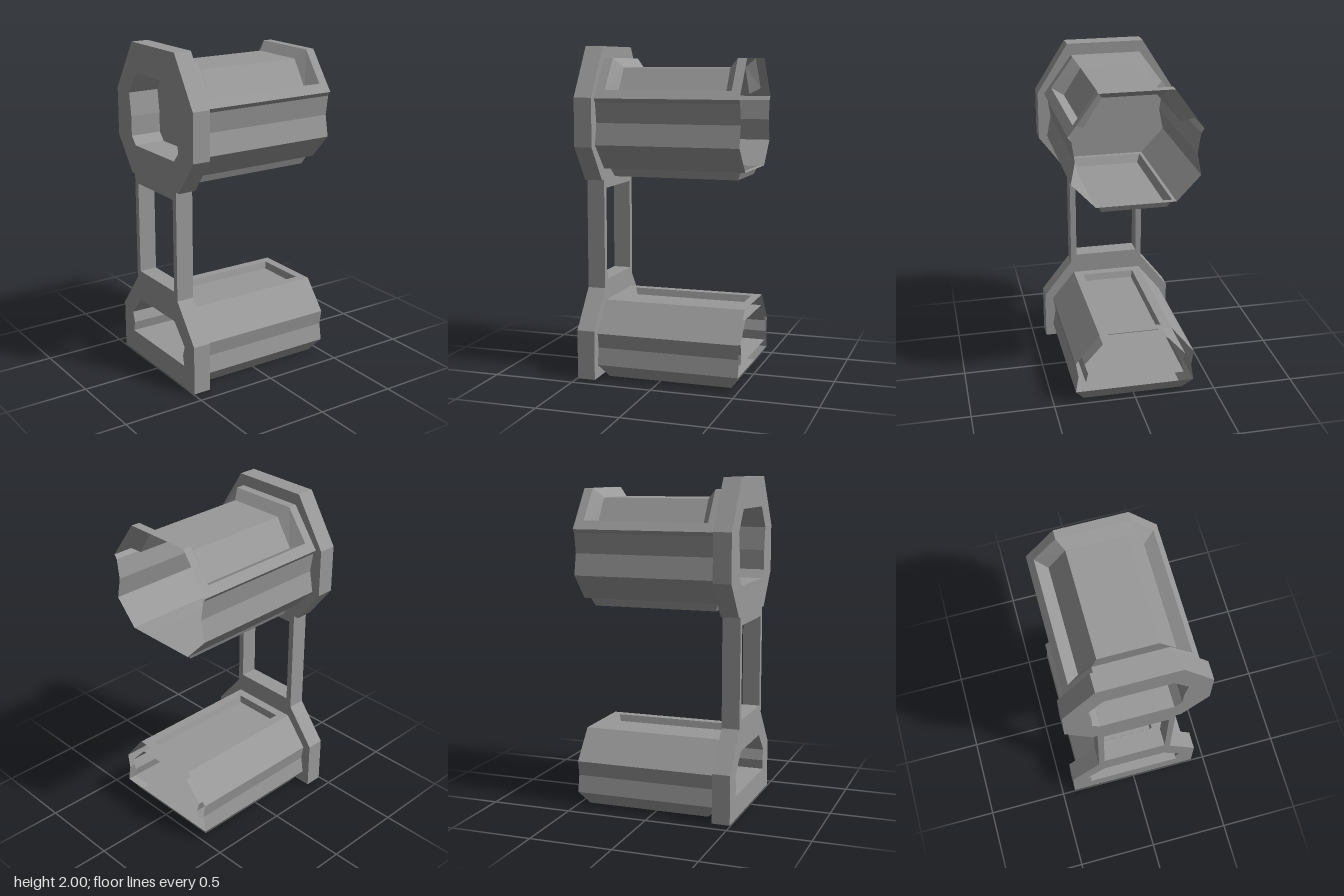
import * as THREE from 'three';

const material = new THREE.MeshStandardMaterial({ color: 0x999999, flatShading: true, side: THREE.DoubleSide });
const X0 = -0.385, X1 = 0.495; // ends of both tubes

// Mirror a half profile of [z, y] points into a closed outline
const mirror = (half) => [...half, ...half.slice().reverse().map(([z, y]) => [-z, y])];
// Place a [z, y] profile at a given x
const at = (path, x) => path.map(([z, y]) => [x, y, z]);

// Flat-shaded skin of quads between rows of points
function skin(...strips) {
  const pos = [];
  for (const rows of strips) {
    for (let r = 0; r < rows.length - 1; r++) {
      for (let i = 0; i < rows[r].length - 1; i++) {
        const a = rows[r][i], b = rows[r][i + 1], c = rows[r + 1][i + 1], d = rows[r + 1][i];
        pos.push(...a, ...b, ...c, ...a, ...c, ...d);
      }
    }
  }
  const g = new THREE.BufferGeometry();
  g.setAttribute('position', new THREE.Float32BufferAttribute(pos, 3));
  g.computeVertexNormals();
  return g;
}

// Panel pushed in or out of a tube: rim path between xo, offset path between xi
function panel(rim, floor, xo, xi) {
  const sides = [0, rim.length - 1].map((k) => [
    [at(rim, xo[0])[k], at(rim, xo[1])[k]],
    [at(floor, xi[0])[k], at(floor, xi[1])[k]],
  ]);
  return skin(
    [at(rim, X0), at(rim, xo[0]), at(floor, xi[0]), at(floor, xi[1]), at(rim, xo[1]), at(rim, X1)],
    ...sides,
  );
}

// Both side walls of a tube from one half profile
function sideWalls(half) {
  const other = half.map(([z, y]) => [-z, y]);
  return skin([at(half, X0), at(half, X1)], [at(other, X0), at(other, X1)]);
}

// Closed sleeve that continues a plate opening up to x
function sleeve(hole, x) {
  const loop = [...hole, hole[0]];
  return skin([at(loop, X0), at(loop, x)]);
}

const toPath = (pts, Type) => new Type(pts.map(([z, y]) => new THREE.Vector2(z, y)));

export function createModel() {
  const model = new THREE.Group();
  const add = (parent, name, geometry) => {
    const mesh = new THREE.Mesh(geometry, material);
    mesh.name = name;
    parent.add(mesh);
  };

  // Upright end plate: octagonal head, two posts and a wide foot
  const outline = mirror([[0.417, 0], [0.417, 0.3], [0.237, 0.53], [0.237, 1.2], [0.27, 1.2],
    [0.427, 1.41], [0.427, 1.7], [0.238, 2]]);
  const headHole = mirror([[0.22, 1.38], [0.265, 1.43], [0.265, 1.55], [0.285, 1.69], [0.195, 1.82]]);
  const postWindow = mirror([[0.2, 0.58], [0.2, 1.147]]);
  const footHole = mirror([[0.305, 0.14], [0.292, 0.2], [0.312, 0.265], [0.2, 0.39]]);
  const shape = toPath(outline, THREE.Shape);
  shape.holes = [headHole, postWindow, footHole].map((h) => toPath(h, THREE.Path));
  const plate = new THREE.ExtrudeGeometry(shape, { depth: 0.11, bevelEnabled: false });
  add(model, 'endPlate', plate.rotateY(-Math.PI / 2).translate(X0, 0, 0));

  // Closed pocket behind the head opening
  const pocketX = -0.3;
  add(model, 'pocketWall', sleeve(headHole, pocketX));
  const cap = new THREE.ShapeGeometry(toPath(headHole, THREE.Shape));
  add(model, 'pocketFloor', cap.rotateY(-Math.PI / 2).translate(pocketX, 0, 0));

  // Upper tube: open end, fluted sides, recess over the top, raised pad below
  const upper = new THREE.Group();
  upper.name = 'upperTube';
  model.add(upper);
  add(upper, 'upperSides', sideWalls([[0.35, 1.745], [0.387, 1.695], [0.368, 1.67], [0.35, 1.55],
    [0.375, 1.42], [0.235, 1.27], [0.215, 1.27]]));
  add(upper, 'topRecess', panel(
    mirror([[0.35, 1.745], [0.215, 1.93]]), mirror([[0.28, 1.71], [0.175, 1.875]]),
    [-0.33, 0.44], [-0.276, 0.385]));
  add(upper, 'bottomPad', panel(
    mirror([[0.215, 1.27]]), mirror([[0.195, 1.22]]), [-0.352, 0.462], [-0.33, 0.44]));

  // Lower tube: shallow recess on top, tapered pan below, inner sleeve right through
  const lower = new THREE.Group();
  lower.name = 'lowerTube';
  model.add(lower);
  add(lower, 'lowerSides', sideWalls([[0.165, 0.455], [0.22, 0.455], [0.365, 0.275], [0.35, 0.185],
    [0.367, 0.08]]));
  add(lower, 'lowerRecess', panel(
    mirror([[0.165, 0.455]]), mirror([[0.155, 0.413]]), [-0.33, 0.44], [-0.318, 0.428]));
  add(lower, 'bottomPan', panel(
    mirror([[0.367, 0.08]]), mirror([[0.31, 0]]), [X0, X1], [-0.33, 0.44]));
  add(lower, 'innerSleeve', sleeve(footHole, X1));

  return model;
}
